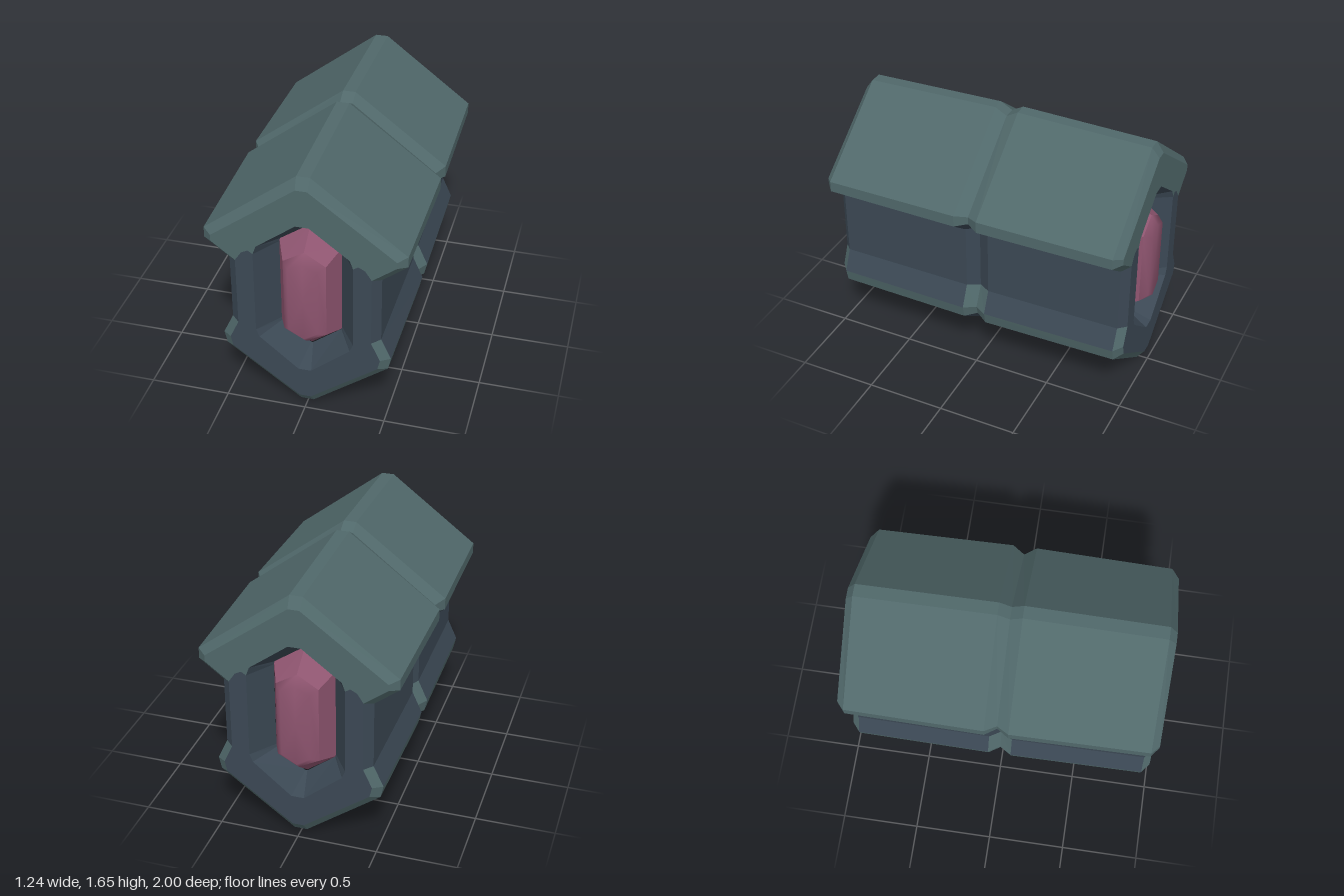
import * as THREE from 'three';
import { mergeVertices } from 'three/addons/utils/BufferGeometryUtils.js';

const material = (name, color) => {
  const m = new THREE.MeshStandardMaterial({ color });
  m.name = name;
  return m;
};

// Closed ring from a right half profile, listed from top to bottom
const ring = (half) => [
  ...half,
  ...half.filter((p) => p[0] !== 0).reverse().map(([x, y]) => [-x, y]),
];

// Quads between two rings; keep(i) chooses the edges of the ring
function band(out, a, za, b, zb, keep = () => true) {
  for (let i = 0; i < a.length; i++) {
    if (!keep(i)) continue;
    const j = (i + 1) % a.length;
    const p = [...a[i], za], q = [...a[j], za], r = [...b[j], zb], s = [...b[i], zb];
    out.push(...p, ...q, ...r, ...p, ...r, ...s);
  }
}

function geometry(positions, smooth = false) {
  let g = new THREE.BufferGeometry();
  g.setAttribute('position', new THREE.Float32BufferAttribute(positions, 3));
  if (smooth) g = mergeVertices(g);
  g.computeVertexNormals();
  return g;
}

// Half profiles of the shell: groove, belly beside the groove, shoulder, end face
const groove = [[0.04, 1.605], [0.575, 1.19], [0.575, 1.14], [0.42, 1.02], [0.42, 0.575], [0.485, 0.44], [0.47, 0.38], [0.04, 0.045]];
const belly = [[0.04, 1.648], [0.622, 1.205], [0.622, 1.13], [0.467, 1.01], [0.467, 0.58], [0.53, 0.44], [0.512, 0.36], [0.04, 0.002]];
const shoulder = [[0.04, 1.63], [0.61, 1.197], [0.61, 1.128], [0.46, 1.012], [0.46, 0.58], [0.522, 0.446], [0.505, 0.368], [0.04, 0.022]];
const end = [[0.035, 1.565], [0.555, 1.18], [0.555, 1.14], [0.41, 1.03], [0.41, 0.575], [0.465, 0.455], [0.45, 0.39], [0.035, 0.085]];

// Half profiles of the recess
const recessRim = [[0.04, 1.325], [0.28, 1.145], [0.3, 1.09], [0.3, 0.54], [0.28, 0.49], [0.04, 0.29]];
const recessFloor = [[0.006, 1.235], [0.185, 1.112], [0.19, 1.09], [0.19, 0.53], [0.185, 0.512], [0.006, 0.375]];

// Half profiles of the gem
const gemBase = [[0, 1.24], [0.197, 1.11], [0.197, 0.51], [0, 0.367]];
const gemEdge = [[0, 1.13], [0.13, 1.05], [0.13, 0.56], [0, 0.49]];
const gemTip = [[0, 1.07], [0.09, 1.03], [0.09, 0.59], [0, 0.535]];

export function createModel() {
  const teal = material('teal armour', 0x50686a);
  const slate = material('slate blue body', 0x3b4854);
  const pink = material('rose gem', 0x8f5570);
  const model = new THREE.Group();
  model.name = 'crystalCapsule';

  // Ring edges by kind; edge i runs from point i to i + 1 and mirrors to 14 - i
  const edges = (...list) => (i) => list.includes(i === 15 ? 15 : Math.min(i, 14 - i));
  const roofEdges = edges(0, 1, 15);
  const wallEdges = edges(2, 3);
  const flareEdge = edges(4);
  const stripEdge = edges(5);
  const keelEdges = edges(6, 7);

  const half = (name) => {
    const g = new THREE.Group();
    g.name = name;
    const add = (part, geo, mat) => {
      const mesh = new THREE.Mesh(geo, mat);
      mesh.name = part;
      g.add(mesh);
      return mesh;
    };
    const [gr, be, sh, en] = [groove, belly, shoulder, end].map(ring);

    // Long shell panels with the waist groove
    const panels = (keep) => {
      const out = [];
      band(out, sh, 0.94, be, 0.075, keep);
      band(out, be, 0.075, gr, 0, keep);
      return geometry(out);
    };
    add('roof', panels(roofEdges), teal);
    add('sideWalls', panels(wallEdges), slate);
    add('skirtStrip', panels(stripEdge), teal);
    add('keel', panels(keelEdges), slate);

    // Flared skirt, with a teal clasp in the groove
    const flare = [], clasp = [];
    band(flare, sh, 0.94, be, 0.075, flareEdge);
    band(clasp, be, 0.075, gr, 0, flareEdge);
    add('skirtFlare', geometry(flare), slate);
    add('grooveClasp', geometry(clasp), teal);

    // Bevel around the end
    const trim = [], wallTrim = [];
    const isWall = edges(3);
    band(trim, en, 0.988, sh, 0.94, (i) => !isWall(i));
    band(wallTrim, en, 0.988, sh, 0.94, isWall);
    add('endTrim', geometry(trim), teal);
    add('wallTrim', geometry(wallTrim), slate);

    // End face in two colours around the recess
    const face = (part, halfOutline, mat) => {
      const pts = [...halfOutline, ...halfOutline.map(([x, y]) => [-x, y]).reverse()];
      const shape = new THREE.Shape(pts.map(([x, y]) => new THREE.Vector2(x, y)));
      add(part, new THREE.ShapeGeometry(shape), mat).position.z = 0.988;
    };
    const seam = [[0.37, 1.09], [0.33, 1.11]];
    const rim = recessRim;
    face('gable', [...end.slice(0, 4), ...seam, rim[2], rim[1], rim[0]], teal);
    face('lowerFace', [...rim.slice(2), ...[]].reverse().concat([...seam].reverse(), end.slice(3)), slate);

    // Sloping recess walls
    const recess = [];
    band(recess, ring(recessFloor), 0.82, ring(recessRim), 0.988);
    add('recess', geometry(recess), slate);

    // Gem: flat facets, a soft shoulder and a narrow tip
    const facets = [], crown = [];
    band(facets, ring(gemEdge), 0.955, ring(gemBase), 0.8);
    const tip = ring(gemTip);
    band(crown, tip, 1, ring(gemEdge), 0.955);
    tip.forEach((p, i) => crown.push(0, 0.81, 1, ...tip[(i + 1) % tip.length], 1, ...p, 1));
    add('gemFacets', geometry(facets), pink);
    add('gemCrown', geometry(crown, true), pink);
    return g;
  };

  const front = half('frontHalf');
  const back = half('backHalf');
  back.rotation.y = Math.PI;
  model.add(front, back);
  return model;
}
